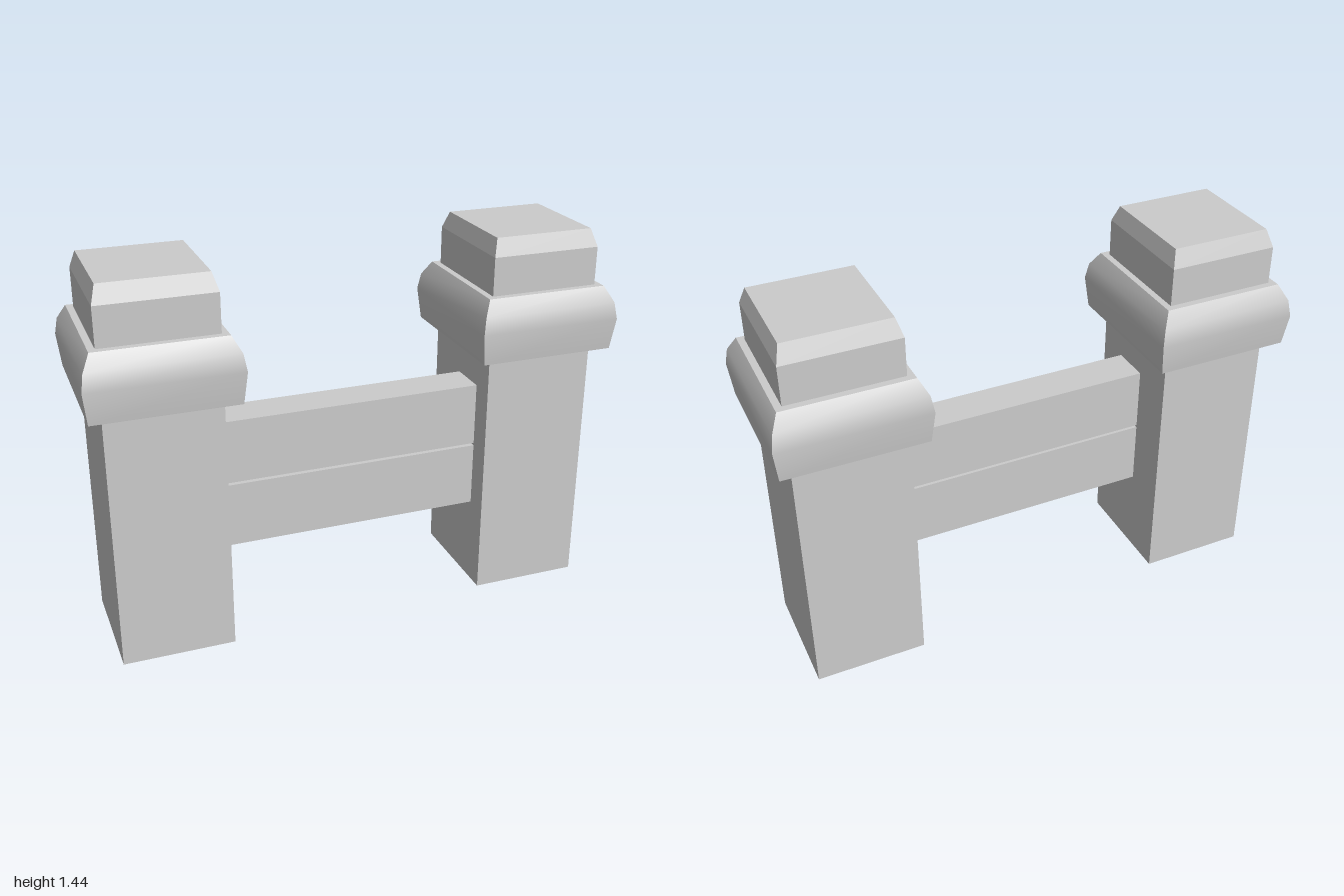
import * as THREE from 'three';
import { mergeGeometries } from 'three/addons/utils/BufferGeometryUtils.js';

const material = new THREE.MeshStandardMaterial({ color: 0xcccccc });

// Mitred rectangular loft. Each band is a list of [halfX, y, halfZ] rings;
// rings within a band shade smoothly, bands and the four sides meet sharply.
function rectLoft(bands) {
  const corners = [[-1, 1], [1, 1], [1, -1], [-1, -1]];
  const strips = [];
  for (const band of bands) {
    for (let side = 0; side < 4; side++) {
      const a = corners[side], b = corners[(side + 1) % 4];
      const positions = [], index = [];
      band.forEach(([hx, y, hz], i) => {
        positions.push(a[0] * hx, y, a[1] * hz, b[0] * hx, y, b[1] * hz);
        if (i > 0) {
          const k = 2 * (i - 1);
          index.push(k, k + 1, k + 3, k, k + 3, k + 2);
        }
      });
      const g = new THREE.BufferGeometry();
      g.setAttribute('position', new THREE.Float32BufferAttribute(positions, 3));
      g.setIndex(index);
      g.computeVertexNormals();
      strips.push(g);
    }
  }
  return mergeGeometries(strips);
}

function addMesh(parent, name, geometry) {
  const mesh = new THREE.Mesh(geometry, material);
  mesh.name = name;
  parent.add(mesh);
  return mesh;
}

export function createModel() {
  const model = new THREE.Group();
  model.name = 'fenceSection';

  // Post: straight shaft with a chamfered flat top
  const base = [0.211, 0, 0.228], shoulder = [0.211, 1.375, 0.228], crown = [0.192, 1.44, 0.2];
  const postGeometry = rectLoft([
    [[0, 0, 0], base], [base, shoulder], [shoulder, crown], [crown, [0, 1.44, 0]],
  ]);

  // Collar: bulging moulding around the post, with flat underside and top ledge
  const bulge = [
    [0.263, 0.99, 0.287], [0.276, 1.11, 0.302], [0.266, 1.173, 0.29], [0.236, 1.23, 0.254],
  ];
  const collarGeometry = rectLoft([
    [[0.211, 0.99, 0.228], bulge[0]], bulge, [bulge[3], [0.211, 1.23, 0.228]],
  ]);

  // The two posts stand slightly staggered in depth
  for (const [side, name] of [[1, 'leftPost'], [-1, 'rightPost']]) {
    const post = new THREE.Group();
    post.name = name;
    post.position.set(side * 0.724, 0, side * -0.018);
    addMesh(post, 'shaft', postGeometry);
    addMesh(post, 'collar', collarGeometry);
    model.add(post);
  }

  // Two horizontal planks with a narrow gap between them
  for (const [name, bottom, top] of [['lowerPlank', 0.34, 0.59], ['upperPlank', 0.6, 0.845]]) {
    const plank = addMesh(model, name, new THREE.BoxGeometry(1.04, top - bottom, 0.152));
    plank.position.set(0, (bottom + top) / 2, 0.04);
  }
  return model;
}
